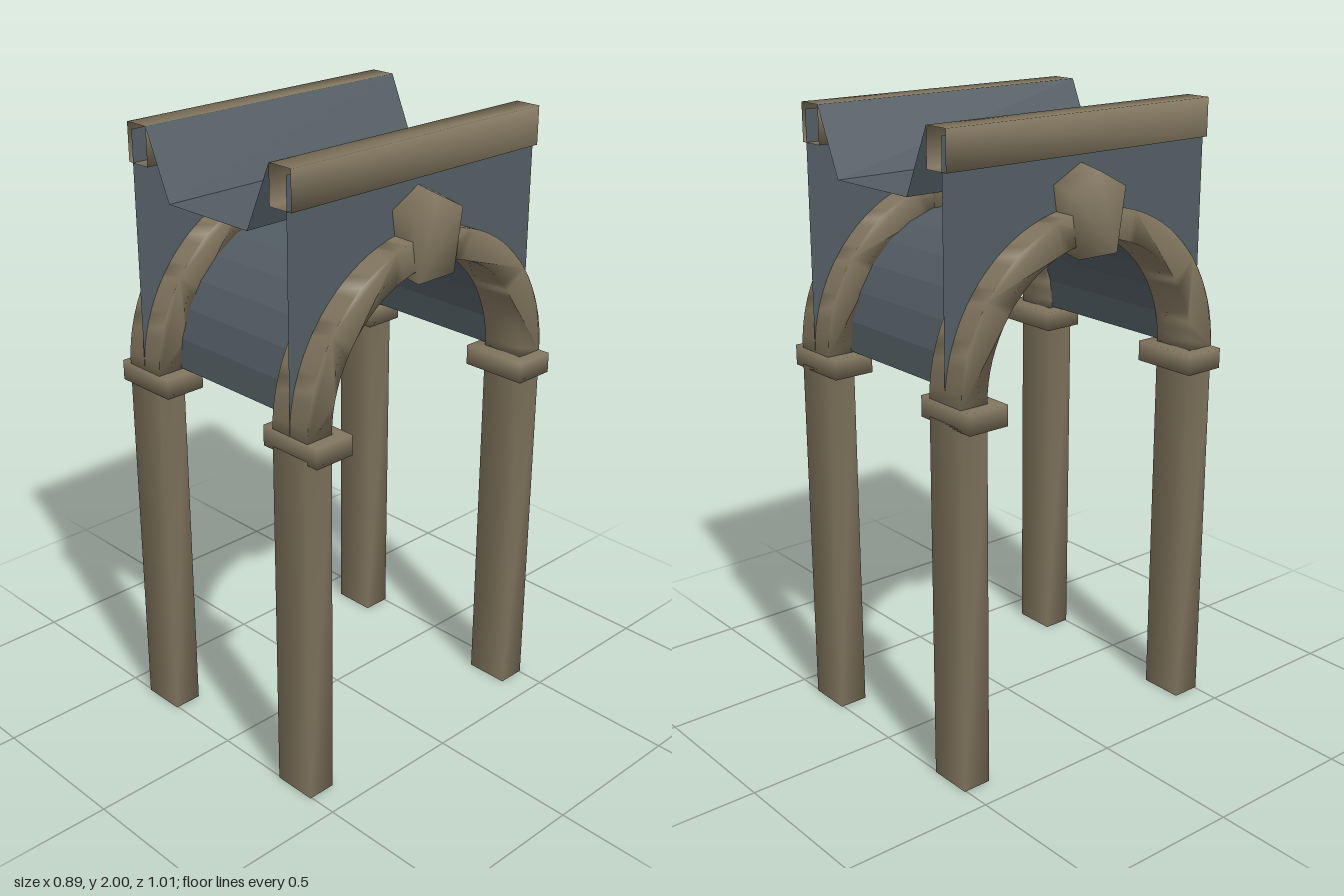
import * as THREE from 'three';
import { mergeVertices } from 'three/addons/utils/BufferGeometryUtils.js';

const HALF = 0.505;      // half length along z
const SIDE = 0.333;      // x of each arcade
const SPRING = 1.225;    // height where the arches start

// Share vertices so the shading runs softly over the edges
function soften(geo) {
  geo.deleteAttribute('normal');
  geo.deleteAttribute('uv');
  geo.clearGroups();
  const merged = mergeVertices(geo, 1e-4);
  merged.computeVertexNormals();
  return merged;
}

// Open sheet: a profile of [x, y] points drawn along z
function sheet(profile, half) {
  const pos = [];
  for (let i = 0; i < profile.length - 1; i++) {
    const [ax, ay] = profile[i], [bx, by] = profile[i + 1];
    pos.push(ax, ay, half, bx, by, half, bx, by, -half);
    pos.push(ax, ay, half, bx, by, -half, ax, ay, -half);
  }
  const geo = new THREE.BufferGeometry();
  geo.setAttribute('position', new THREE.Float32BufferAttribute(pos, 3));
  geo.computeVertexNormals();
  return geo;
}

// Extrude a z-y outline across x, centred on x = 0
function across(shape, width, steps = 1) {
  const geo = new THREE.ExtrudeGeometry(shape, { depth: width, steps, bevelEnabled: false, curveSegments: 20 });
  geo.translate(0, 0, -width / 2);
  geo.rotateY(Math.PI / 2);
  return geo;
}

export function createModel() {
  const model = new THREE.Group();
  const stone = new THREE.MeshStandardMaterial({ color: 0x82765f, side: THREE.DoubleSide });
  stone.name = 'brown stone';
  const slate = new THREE.MeshStandardMaterial({ color: 0x525d62, side: THREE.DoubleSide });
  slate.name = 'grey blue slate';

  const add = (name, geo, mat, parent, x = 0, y = 0, z = 0) => {
    const mesh = new THREE.Mesh(geo, mat);
    mesh.name = name;
    mesh.position.set(x, y, z);
    parent.add(mesh);
  };

  // Shared parts
  const column = soften(new THREE.BoxGeometry(0.145, 1.17, 0.095));
  const capital = soften(new THREE.BoxGeometry(0.224, 0.065, 0.137));

  const ring = new THREE.Shape();
  ring.absarc(0, SPRING, HALF, 0, Math.PI, false);
  ring.absarc(0, SPRING, 0.41, Math.PI, 0, true);
  const arch = soften(across(ring, 0.145));

  const wedge = new THREE.Shape([
    [-0.075, 1.59], [0.075, 1.59], [0.105, 1.785], [0, 1.84], [-0.105, 1.785],
  ].map(([z, y]) => new THREE.Vector2(z, y)));
  const keystone = across(wedge, 0.16, 2);
  // Raise the middle of the keystone's ridge and its underside
  const kp = keystone.attributes.position;
  for (let i = 0; i < kp.count; i++) {
    if (Math.abs(kp.getX(i)) < 0.01) kp.setY(i, kp.getY(i) + 0.014);
  }
  const key = soften(keystone);

  const wallShape = new THREE.Shape();
  wallShape.moveTo(HALF, 1.22);
  wallShape.lineTo(HALF, 1.98);
  wallShape.lineTo(-HALF, 1.98);
  wallShape.lineTo(-HALF, 1.22);
  wallShape.lineTo(-0.42, 1.22);
  wallShape.absarc(0, SPRING, 0.42, Math.PI, 0, true);
  const wall = new THREE.ShapeGeometry(wallShape, 20);
  wall.rotateY(Math.PI / 2);

  // Hollow rail, open at both ends
  const rail = soften(sheet([
    [-0.043, 2], [-0.043, 1.88], [0.043, 1.88], [0.043, 2], [-0.043, 2],
  ].reverse(), HALF));

  // One arcade on each side
  for (const s of [-1, 1]) {
    const arcade = new THREE.Group();
    arcade.name = s > 0 ? 'leftArcade' : 'rightArcade';
    arcade.position.x = s * SIDE;
    model.add(arcade);
    for (const e of [-1, 1]) {
      add('column', column, stone, arcade, 0, 0.585, e * 0.4575);
      add('capital', capital, stone, arcade, 0, 1.192, e * 0.4365);
    }
    add('arch', arch, stone, arcade);
    add('keystone', key, stone, arcade);
    add('spandrelWall', wall, slate, arcade);
    add('rail', rail, stone, arcade, s * -0.025);
  }

  // Water trough with sloping sides
  add('trough', sheet([[0.265, 2], [0.17, 1.79], [-0.17, 1.79], [-0.265, 2]], HALF), slate, model);

  // Barrel vault joining the two arcades
  const curve = [];
  for (let i = 0; i <= 14; i++) {
    const a = (i / 14) * Math.PI;
    curve.push([Math.cos(a) * 0.42, SPRING + 0.005 + Math.sin(a) * 0.42]);
  }
  const vault = sheet(curve.reverse(), SIDE);
  vault.rotateY(Math.PI / 2);
  add('vault', vault, slate, model);

  return model;
}
